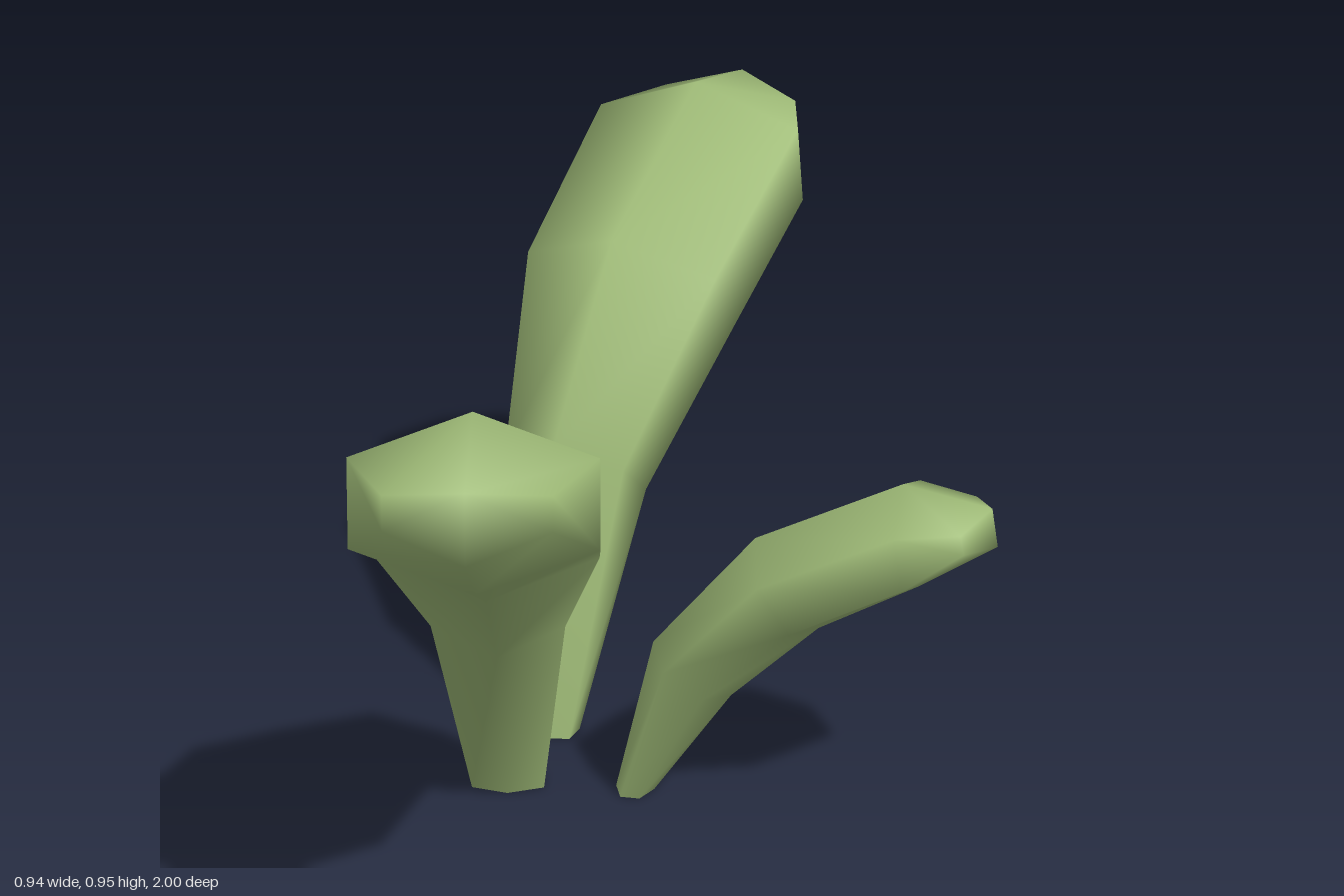
import * as THREE from 'three';

const green = new THREE.MeshStandardMaterial({ color: 0xa0bc78 });
green.name = 'leafGreen';

// Each ring: upper point (z, y), lower point (z, y), width, how far the sides sit back
const LARGE = [
  [-0.04, 0, 0.045, 0, 0.12, 0],
  [0.06, 0.48, 0.247, 0.34, 0.215, 0],
  [0.31, 0.765, 0.47, 0.54, 0.345, 0],
  [0.675, 0.935, 0.725, 0.665, 0.37, 0],
  [0.887, 0.895, 0.907, 0.79, 0.245, 0.06],
];
const SMALL = [
  [-0.035, 0, 0.03, 0, 0.08, 0],
  [0.03, 0.27, 0.16, 0.185, 0.145, 0],
  [0.2, 0.47, 0.305, 0.32, 0.235, 0],
  [0.44, 0.585, 0.47, 0.41, 0.25, 0],
  [0.585, 0.555, 0.595, 0.49, 0.165, 0.04],
];

// Corners of a six-sided section: side (in half widths) and share of the way down
const HEX = [[0, 0], [1, 0.25], [1, 0.75], [0, 1], [-1, 0.75], [-1, 0.25]];

// Thick leaf arching out along +z
function leafGeometry(rings) {
  const pos = [], index = [], n = HEX.length;
  const addRing = ([tz, ty, bz, by, w, back]) => {
    for (const [side, t] of HEX) {
      pos.push(side * w / 2, ty + (by - ty) * t, tz + (bz - tz) * t - Math.abs(side) * back);
    }
  };
  rings.forEach(addRing);
  for (let i = 0; i < rings.length - 1; i++) {
    for (let j = 0; j < n; j++) {
      const a = i * n + j, c = i * n + (j + 1) % n;
      index.push(a, a + n, c, a + n, c + n, c);
    }
  }
  // rounded tip shares its corners, flat foot has its own
  const tip = (rings.length - 1) * n, foot = rings.length * n;
  addRing(rings[0]);
  for (let j = 1; j < n - 1; j++) {
    index.push(tip, tip + j + 1, tip + j);
    index.push(foot, foot + j, foot + j + 1);
  }
  const geo = new THREE.BufferGeometry();
  geo.setAttribute('position', new THREE.Float32BufferAttribute(pos, 3));
  geo.setIndex(index);
  geo.computeVertexNormals();
  return geo;
}

export function createModel() {
  const model = new THREE.Group();
  model.name = 'plantLeaves';
  const addLeaf = (name, rings, x, z, dx, dz, scale = 1) => {
    const leaf = new THREE.Mesh(leafGeometry(rings), green);
    leaf.name = name;
    leaf.position.set(x, 0, z);
    leaf.rotation.y = Math.atan2(dx, dz);
    leaf.scale.setScalar(scale);
    model.add(leaf);
  };
  addLeaf('frontLeaf', LARGE, -0.345, 0.1, 0.122, 0.9925);
  addLeaf('backLeaf', LARGE, -0.325, -0.105, 0.257, -0.966, 1.018);
  addLeaf('smallSideLeaf', SMALL, -0.13, 0.095, 0.997, 0.075);
  return model;
}
